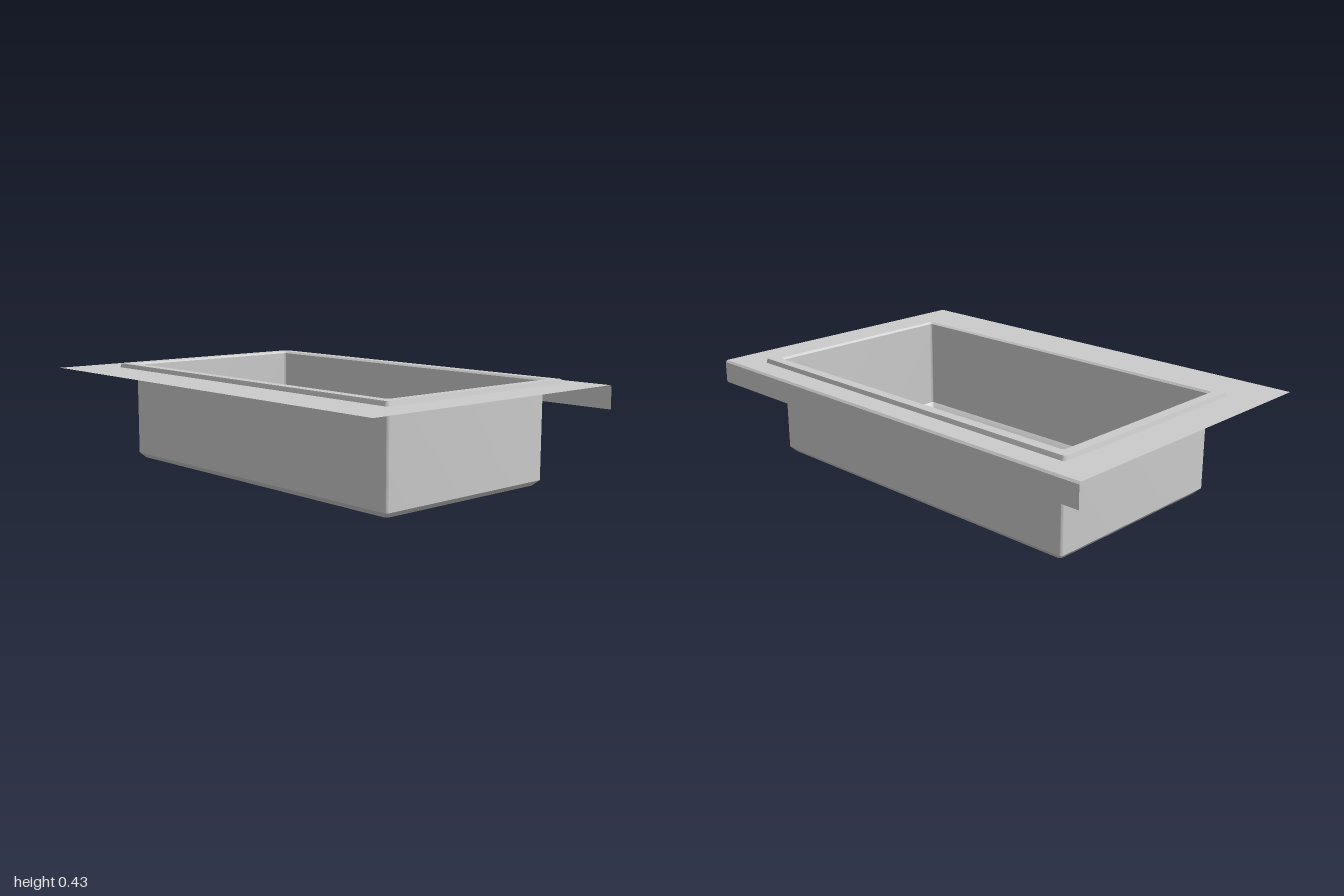
import * as THREE from 'three';
import { toCreasedNormals } from 'three/addons/utils/BufferGeometryUtils.js';

const material = new THREE.MeshStandardMaterial({ color: 0xcccccc, side: THREE.DoubleSide });
const CENTRE_X = 0.055; // the basin sits towards the front edge of the counter
const TOP = 0.41;

// Outline of a rectangle with rounded corners, as [x, z] pairs
function roundedRect(hx, hz, r, steps = 5) {
  const points = [];
  [[1, 1], [-1, 1], [-1, -1], [1, -1]].forEach(([sx, sz], corner) => {
    for (let i = 0; i <= steps; i++) {
      const a = (corner + i / steps) * Math.PI / 2;
      points.push([CENTRE_X + sx * (hx - r) + r * Math.cos(a), sz * (hz - r) + r * Math.sin(a)]);
    }
  });
  return points;
}

// Skin over a list of [halfX, halfZ, y, radius] sections, optionally closed at the end
function loft(sections, closed) {
  const positions = [], index = [];
  let n = 0;
  for (const [hx, hz, y, r] of sections) {
    const ring = roundedRect(hx, hz, r);
    n = ring.length;
    ring.forEach(([x, z]) => positions.push(x, y, z));
  }
  for (let s = 0; s < sections.length - 1; s++) {
    for (let i = 0; i < n; i++) {
      const a = s * n + i, b = s * n + (i + 1) % n;
      index.push(a, a + n, b, b, a + n, b + n);
    }
  }
  if (closed) {
    const last = (sections.length - 1) * n, centre = sections.length * n;
    positions.push(CENTRE_X, sections.at(-1)[2], 0);
    for (let i = 0; i < n; i++) index.push(last + i, centre, last + (i + 1) % n);
  }
  const geometry = new THREE.BufferGeometry();
  geometry.setAttribute('position', new THREE.Float32BufferAttribute(positions, 3));
  geometry.setIndex(index);
  return toCreasedNormals(geometry, Math.PI / 6);
}

export function createModel() {
  const group = new THREE.Group();
  const add = (name, geometry) => {
    const mesh = new THREE.Mesh(geometry, material);
    mesh.name = name;
    group.add(mesh);
    return mesh;
  };

  // Raised rim around the opening
  add('rim', loft([
    [0.492, 0.852, TOP, 0.016],
    [0.488, 0.848, 0.428, 0.016],
    [0.445, 0.805, 0.428, 0.014],
    [0.436, 0.796, 0.42, 0.012],
  ], false));

  // Thin-walled basin with a chamfered floor
  add('basin', loft([
    [0.436, 0.796, 0.42, 0.012],
    [0.436, 0.796, 0.022, 0.012],
    [0.415, 0.775, 0, 0.012],
  ], true));

  // Counter sheet with a cut-out under the rim (shape y becomes -z)
  const sheet = new THREE.Shape([
    [-0.65, -1], [0.642, -1], [0.642, 1], [-0.65, 1],
  ].map(([x, y]) => new THREE.Vector2(x, y)));
  sheet.holes.push(new THREE.Path(roundedRect(0.488, 0.848, 0.016).map(([x, z]) => new THREE.Vector2(x, z))));
  const counter = add('counterTop', new THREE.ShapeGeometry(sheet));
  counter.rotation.x = -Math.PI / 2;
  counter.position.y = TOP;

  // Turned-down front edge: a narrow bevel and the apron below it
  const profile = [[0.642, TOP], [0.65, 0.402], [0.65, 0.313]];
  ['frontBevel', 'frontApron'].forEach((name, i) => {
    const [x0, y0] = profile[i], [x1, y1] = profile[i + 1];
    const strip = add(name, new THREE.PlaneGeometry(2, Math.hypot(x1 - x0, y1 - y0)));
    strip.rotation.set(-Math.atan2(x1 - x0, y0 - y1), Math.PI / 2, 0, 'YXZ');
    strip.position.set((x0 + x1) / 2, (y0 + y1) / 2, 0);
  });

  return group;
}
